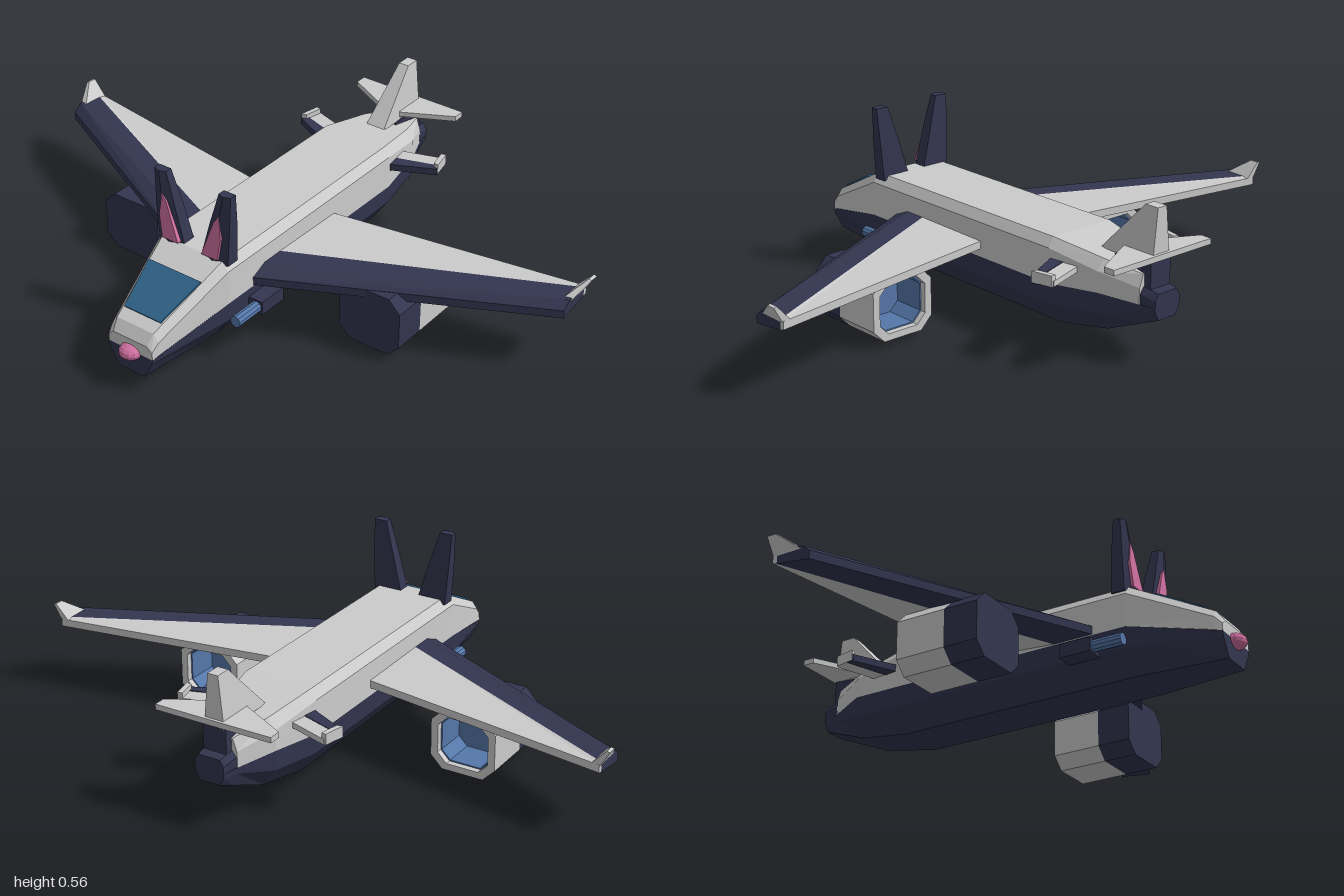
import * as THREE from 'three';

const paint = (color) => new THREE.MeshStandardMaterial({ color, flatShading: true, side: THREE.DoubleSide });

// Closed loft through cross-section loops of [x, y, z]; winding is fixed from the signed volume.
function loftGeometry(sections) {
  const n = sections[0].length, tris = [];
  for (let i = 0; i < sections.length - 1; i++) {
    const a = sections[i], b = sections[i + 1];
    for (let j = 0; j < n; j++) {
      const k = (j + 1) % n;
      tris.push([a[j], b[j], b[k]], [a[j], b[k], a[k]]);
    }
  }
  const first = sections[0], last = sections[sections.length - 1];
  for (let j = 1; j < n - 1; j++) {
    tris.push([first[0], first[j], first[j + 1]], [last[0], last[j + 1], last[j]]);
  }
  const v = (p) => new THREE.Vector3(...p);
  const volume = tris.reduce((s, [a, b, c]) => s + v(a).dot(v(b).cross(v(c))), 0);
  if (volume < 0) tris.forEach((t) => t.reverse());
  const geometry = new THREE.BufferGeometry();
  geometry.setAttribute('position', new THREE.Float32BufferAttribute(tris.flat(2), 3));
  geometry.computeVertexNormals();
  return geometry;
}

export function createModel() {
  const model = new THREE.Group();
  model.name = 'aircraft';
  const grey = paint(0xcccccc), dark = paint(0x33354f), blue = paint(0x5578aa);
  const glass = paint(0x2f6288), pink = paint(0xd070a0);
  const add = (name, geometry, material, parent = model) => {
    const mesh = new THREE.Mesh(geometry, material);
    mesh.name = name;
    parent.add(mesh);
    return mesh;
  };
  const loft = (name, sections, material, parent) => add(name, loftGeometry(sections), material, parent);
  // Mirror a right-hand outline into a full loop across x = 0
  const symmetric = (half, z) => [
    ...half.map(([x, y]) => [x, y, z]),
    ...half.slice().reverse().map(([x, y]) => [-x, y, z]),
  ];

  // Upper hull: z, half width, top half width, split y, shoulder y, top y
  loft('upperHull', [
    [0.72, 0.085, 0.065, 0.125, 0.15, 0.165],
    [0.695, 0.09, 0.07, 0.132, 0.175, 0.2],
    [0.43, 0.14, 0.115, 0.19, 0.3, 0.33],
    [-0.4, 0.14, 0.115, 0.19, 0.3, 0.33],
    [-0.58, 0.112, 0.085, 0.205, 0.27, 0.305],
    [-0.7, 0.06, 0.045, 0.19, 0.24, 0.28],
  ].map(([z, w, t, split, sh, top]) => symmetric([[w, split], [w * 0.98, sh], [t, top]], z)), grey);

  // Lower hull: z, half width, bottom half width, split y, chine y, bottom y
  loft('lowerHull', [
    [0.72, 0.085, 0.05, 0.125, 0.11, 0.05],
    [0.43, 0.14, 0.08, 0.19, 0.125, 0.05],
    [-0.4, 0.14, 0.08, 0.19, 0.125, 0.05],
    [-0.58, 0.112, 0.065, 0.205, 0.14, 0.08],
    [-0.7, 0.06, 0.045, 0.19, 0.17, 0.128],
    [-0.755, 0.05, 0.035, 0.19, 0.175, 0.15],
  ].map(([z, w, b, split, chine, bot]) => symmetric([[w, split], [w * 0.97, chine], [b, bot]], z)), dark);

  // Dark tail end and fin mount
  loft('tailCap', [[-0.68, 0.058, 0.245], [-0.755, 0.05, 0.232]].map(
    ([z, w, top]) => symmetric([[w, 0.18], [w, top - 0.02], [w * 0.75, top]], z)), dark);
  loft('finMount', [[-0.58, 0.04, 0.31], [-0.725, 0.04, 0.32]].map(
    ([z, w, top]) => symmetric([[w, 0.23], [w, top]], z)), dark);

  // Tapered fin
  const finLevel = (y, front, w) => [[w, y, front], [w, y, -0.725], [-w, y, -0.725], [-w, y, front]];
  loft('tailFin', [finLevel(0.31, -0.515, 0.035), finLevel(0.48, -0.675, 0.018)], grey);

  // Windscreen lying on the sloping nose
  const pane = (lift) => [[0.07, 0.217, 0.66], [0.1, 0.291, 0.51], [-0.1, 0.291, 0.51], [-0.07, 0.217, 0.66]]
    .map(([x, y, z]) => [x, y + lift, z + lift * 0.5]);
  loft('windscreen', [pane(-0.005), pane(0.005)], glass);

  // Nose ball
  const nose = add('noseTip', new THREE.SphereGeometry(1, 12, 8), pink);
  nose.scale.set(0.038, 0.025, 0.036);
  nose.position.set(0, 0.122, 0.719);

  for (const s of [1, -1]) {
    const side = new THREE.Group();
    side.name = s > 0 ? 'leftSide' : 'rightSide';
    model.add(side);
    const slab = (name, outline, y0, y1, material) =>
      loft(name, [y0, y1].map((y) => outline.map(([x, z]) => [s * x, y, z])), material, side);
    const span = (name, root, tip, rx, tx, material) => loft(name, [
      root.map(([z, y]) => [s * rx, y, z]), tip.map(([z, y]) => [s * tx, y, z]),
    ], material, side);

    // Swept wing: dark leading edge and grey main panel
    span('wingLeadingEdge',
      [[0.325, 0.193], [0.325, 0.22], [0.265, 0.245], [0.19, 0.245], [0.19, 0.193]],
      [[-0.1, 0.195], [-0.1, 0.222], [-0.13, 0.245], [-0.215, 0.243], [-0.215, 0.21]], 0.12, 0.97, dark);
    span('wingPanel',
      [[0.19, 0.193], [0.19, 0.245], [-0.095, 0.24], [-0.095, 0.215]],
      [[-0.215, 0.21], [-0.215, 0.243], [-0.23, 0.24], [-0.23, 0.215]], 0.12, 0.97, grey);

    // Winglet leaning outward
    loft('winglet', [
      [[0.945, 0.24, -0.13], [0.97, 0.235, -0.13], [0.97, 0.235, -0.228], [0.945, 0.24, -0.228]],
      [[0.99, 0.29, -0.2], [1, 0.287, -0.2], [1, 0.287, -0.23], [0.99, 0.29, -0.23]],
    ].map((ring) => ring.map(([x, y, z]) => [s * x, y, z])), grey, side);

    // Tailplane and small rear wing with an upright tip
    slab('tailplane', [[0, -0.59], [0.04, -0.615], [0.2, -0.695], [0.2, -0.735], [0, -0.735]], 0.322, 0.34, grey);
    slab('rearWingEdge', [[0.1, -0.4], [0.14, -0.41], [0.275, -0.475], [0.27, -0.5], [0.1, -0.445]], 0.247, 0.27, dark);
    slab('rearWingPanel', [[0.1, -0.445], [0.27, -0.5], [0.255, -0.55], [0.1, -0.5]], 0.25, 0.268, grey);
    slab('rearWingTip', [[0.258, -0.482], [0.276, -0.478], [0.262, -0.548], [0.245, -0.545]], 0.25, 0.285, grey);

    // Tapered ear with a pink inner panel
    const earRing = (y, x0, x1, z, d) => [[x0, z - d], [x1, z - d], [x1, z + d * 0.5], [(x0 + x1) / 2, z + d], [x0, z + d * 0.5]]
      .map(([x, zz]) => [s * x, y, zz]);
    loft('ear', [
      earRing(0.315, 0.03, 0.132, 0.41, 0.03),
      earRing(0.44, 0.065, 0.14, 0.412, 0.025),
      earRing(0.555, 0.1, 0.144, 0.414, 0.016),
    ], dark, side);
    const innerEar = [[0.045, 0.335], [0.105, 0.335], [0.117, 0.41], [0.108, 0.485], [0.09, 0.46]];
    loft('innerEar', [0.415, 0.443].map((z) => innerEar.map(
      ([x, y]) => [s * x, y, z - (y - 0.335) * 0.05])), pink, side);

    // Side gun: dark mount and blue barrel
    const mount = add('gunMount', new THREE.BoxGeometry(0.07, 0.045, 0.105), dark, side);
    mount.position.set(s * 0.155, 0.138, 0.283);
    const barrel = add('gunBarrel', new THREE.CylinderGeometry(0.019, 0.019, 0.11, 10), blue, side);
    barrel.rotation.x = Math.PI / 2;
    barrel.position.set(s * 0.167, 0.137, 0.382);

    // Chamfered engine pod, closed in front and open at the back
    const pod = new THREE.Group();
    pod.name = 'enginePod';
    pod.position.set(s * 0.46, s > 0 ? 0.12 : 0.1, s > 0 ? 0.163 : 0.19);
    side.add(pod);
    const octagon = (k) => [[0.07, 0.1], [0.11, 0.06], [0.11, -0.06], [0.07, -0.1],
      [-0.07, -0.1], [-0.11, -0.06], [-0.11, 0.06], [-0.07, 0.1]]
      .map(([x, y]) => new THREE.Vector2(x * k, y * k));
    const extrude = (shape, depth) => new THREE.ExtrudeGeometry(shape, { depth, bevelEnabled: false });
    const ring = (outer, inner) => {
      const shape = new THREE.Shape(octagon(outer));
      shape.holes.push(new THREE.Path(octagon(inner)));
      return shape;
    };
    add('intake', extrude(new THREE.Shape(octagon(1)), 0.113), dark, pod).position.z = -0.113;
    add('exhaustShell', extrude(ring(1, 0.78), 0.165), grey, pod).position.z = -0.278;
    add('exhaustLining', extrude(ring(0.785, 0.74), 0.14), blue, pod).position.z = -0.258;
    add('exhaustCore', extrude(new THREE.Shape(octagon(0.77)), 0.02), blue, pod).position.z = -0.15;
  }
  return model;
}
